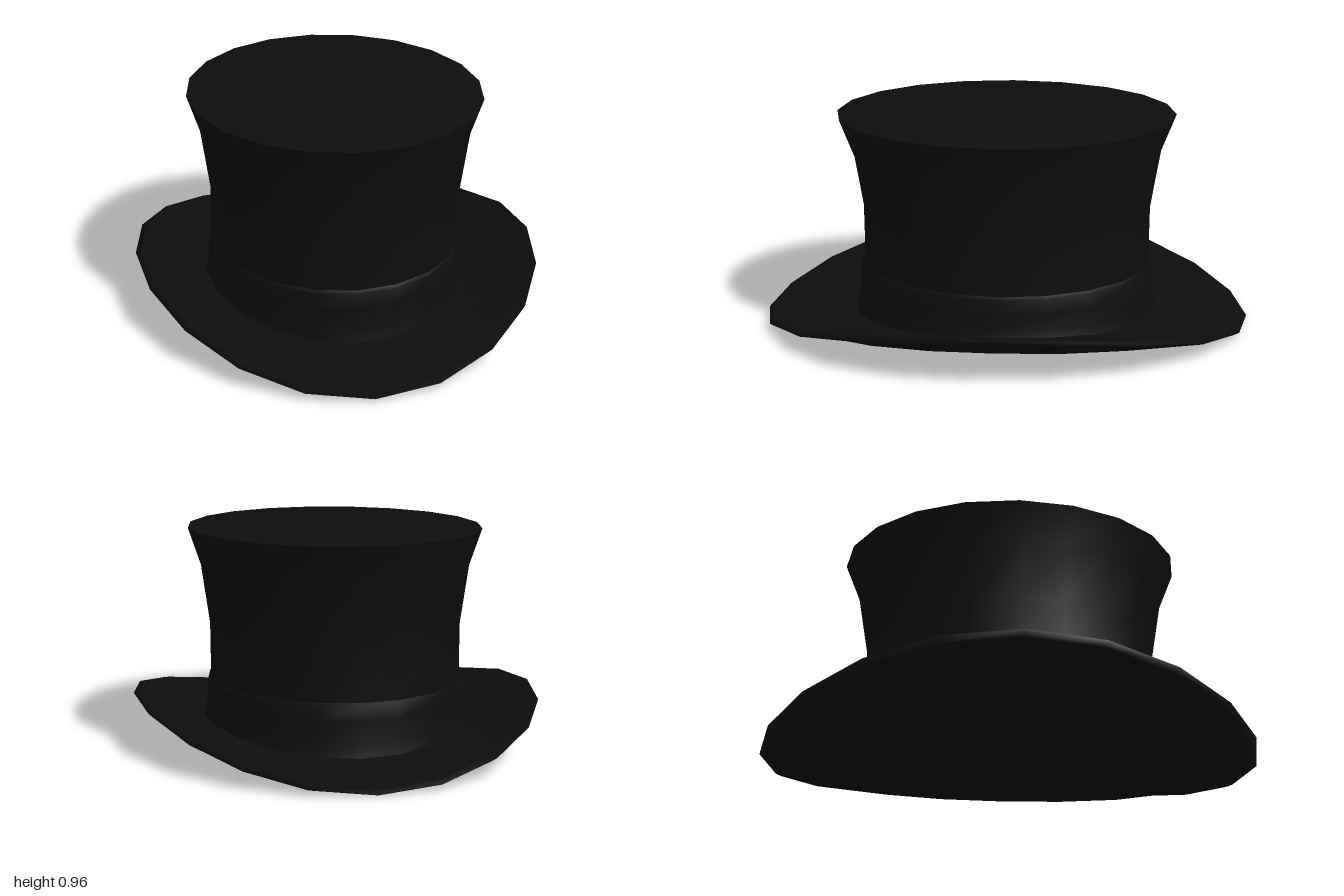
import * as THREE from 'three';

const SEGMENTS = 20;

// Lofts elliptical rings [halfLength, halfWidth, height, saddle];
// saddle dips the long ends of the ring and lifts its sides.
function loft(rings) {
  const positions = [];
  const index = [];
  for (const [a, b, y, saddle] of rings) {
    for (let i = 0; i < SEGMENTS; i++) {
      const t = (i / SEGMENTS) * Math.PI * 2;
      positions.push(a * Math.cos(t), y - saddle * Math.cos(2 * t), b * Math.sin(t));
    }
  }
  for (let j = 0; j < rings.length - 1; j++) {
    for (let i = 0; i < SEGMENTS; i++) {
      const next = (i + 1) % SEGMENTS;
      const p = j * SEGMENTS + i;
      const q = j * SEGMENTS + next;
      const r = p + SEGMENTS;
      const s = q + SEGMENTS;
      index.push(p, r, q, q, r, s);
    }
  }
  const geometry = new THREE.BufferGeometry();
  geometry.setAttribute('position', new THREE.Float32BufferAttribute(positions, 3));
  geometry.setIndex(index);
  geometry.computeVertexNormals();
  return geometry;
}

// Crown rings share one oval proportion
const oval = (radius, y, saddle = 0) => [radius * 1.071, radius * 0.929, y, saddle];

export function createModel() {
  const model = new THREE.Group();
  model.name = 'topHat';
  const blackFelt = new THREE.MeshStandardMaterial({ color: 0x0d0d0d });
  blackFelt.name = 'blackFelt';

  const hat = new THREE.Group();
  hat.name = 'hat';
  hat.rotation.y = -Math.PI / 4; // long axis lies on the diagonal
  model.add(hat);

  const add = (name, rings) => {
    const mesh = new THREE.Mesh(loft(rings), blackFelt);
    mesh.name = name;
    hat.add(mesh);
  };

  // Closed underside, curled-up sides and the upper face of the brim
  add('brim', [
    [0, 0, 0.04, 0],
    [0.68, 0.58, 0.04, 0.03],
    [0.92, 0.75, 0.052, 0.047],
    [1.065, 0.875, 0.095, 0.095],
    [1.09, 0.9, 0.113, 0.1],
    [1.06, 0.87, 0.12, 0.095],
    [0.9, 0.74, 0.092, 0.06],
    [0.66, 0.57, 0.075, 0.025],
  ]);

  // Flared wall of the crown
  add('crown', [
    oval(0.605, 0.07, 0.02),
    oval(0.598, 0.27),
    oval(0.6, 0.52),
    oval(0.64, 0.78),
    oval(0.7, 0.945),
  ]);

  // Slightly domed top
  add('crownTop', [oval(0.7, 0.945), oval(0.62, 0.951), oval(0.35, 0.955), oval(0, 0.956)]);

  // Band around the foot of the crown
  add('hatBand', [
    oval(0.637, 0.065, 0.025),
    oval(0.622, 0.12, 0.01),
    oval(0.617, 0.2),
    oval(0.613, 0.265),
    oval(0.597, 0.277),
  ]);

  return model;
}
